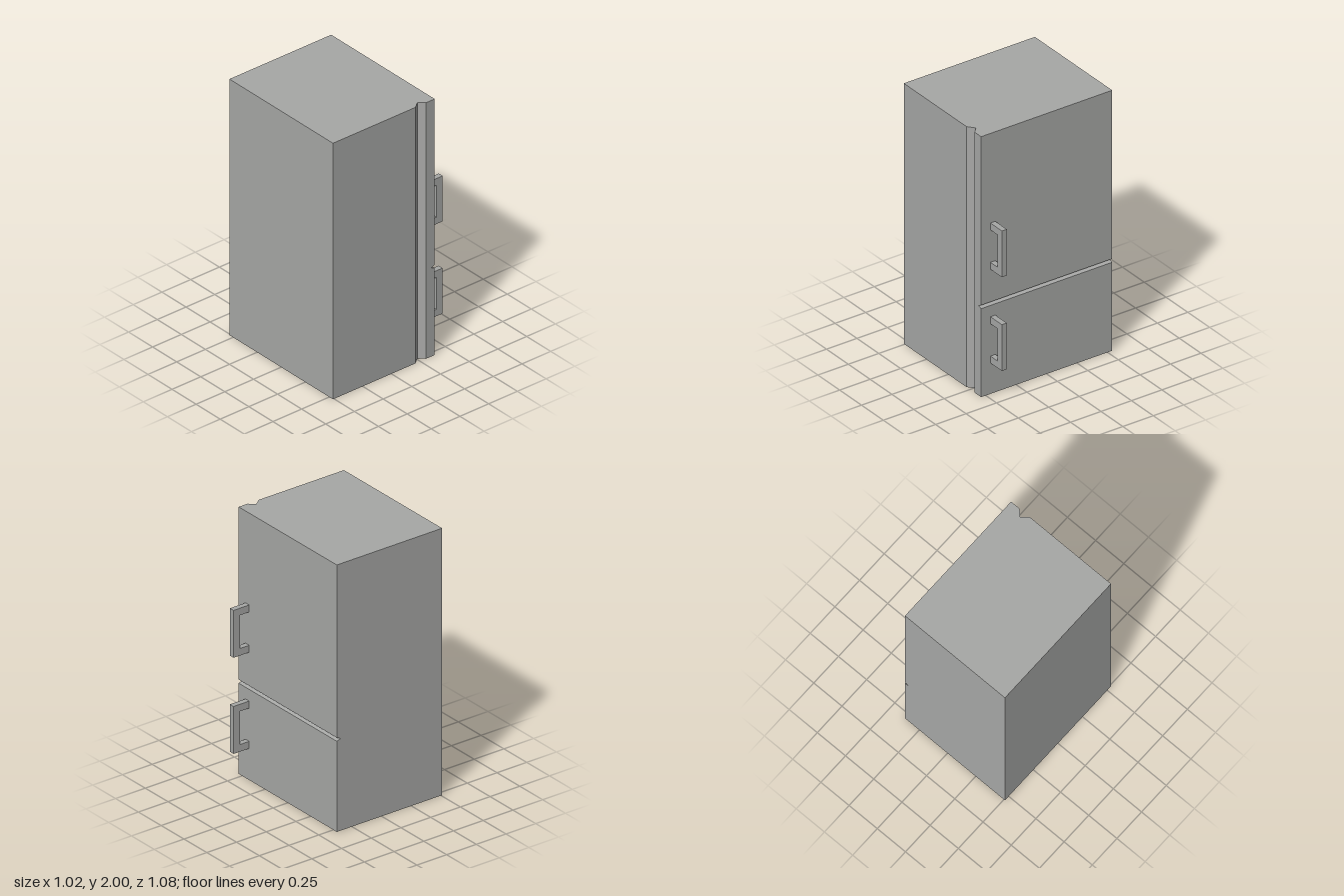
import * as THREE from 'three';

const HEIGHT = 2;
const DEPTH = 1.076;      // along z
const FRONT = DEPTH / 2;
const LEFT = 0.377;       // face of the doors
const SEAM_X = 0.345;     // bottom of the groove between the doors
const SEAM_Y = 0.69;

const steel = new THREE.MeshStandardMaterial({ color: 0xa7a8a6 });
steel.name = 'grey enamel';

// Extrudes a polygon drawn in x, y along z.
function prism(points, depth) {
  const shape = new THREE.Shape(points.map(([x, y]) => new THREE.Vector2(x, y)));
  return new THREE.ExtrudeGeometry(shape, { depth, bevelEnabled: false });
}

function addPart(parent, name, geometry) {
  const mesh = new THREE.Mesh(geometry, steel);
  mesh.name = name;
  parent.add(mesh);
  return mesh;
}

// C-shaped grip standing out from the door face.
function addHandle(parent, name, bottom) {
  const top = bottom + 0.355, outer = 0.509, inner = 0.456, bar = 0.053;
  const handle = addPart(parent, name, prism([
    [LEFT, bottom], [outer, bottom], [outer, top], [LEFT, top],
    [LEFT, top - bar], [inner, top - bar], [inner, bottom + bar], [LEFT, bottom + bar],
  ], 0.04));
  handle.position.z = 0.422;
}

export function createModel() {
  const fridge = new THREE.Group();
  fridge.name = 'fridge';

  // Cabinet: plan outline with the V groove on its front, extruded upward.
  const plan = [
    [-0.509, FRONT], [0.209, FRONT], [0.261, 0.497], [0.301, FRONT],
    [SEAM_X, FRONT], [SEAM_X, -FRONT], [-0.509, -FRONT],
  ];
  const cabinet = prism(plan.map(([x, z]) => [x, -z]), HEIGHT);
  cabinet.rotateX(-Math.PI / 2);
  addPart(fridge, 'cabinet', cabinet);

  // Door fronts: sloped edges meet at the bottom of the horizontal groove.
  const doors = {
    upperDoor: [[SEAM_X, SEAM_Y], [LEFT, 0.706], [LEFT, HEIGHT], [SEAM_X, HEIGHT]],
    lowerDoor: [[SEAM_X, 0], [LEFT, 0], [LEFT, 0.679], [SEAM_X, SEAM_Y]],
  };
  for (const [name, outline] of Object.entries(doors)) {
    addPart(fridge, name, prism(outline, DEPTH)).position.z = -FRONT;
  }

  addHandle(fridge, 'upperHandle', 0.957);
  addHandle(fridge, 'lowerHandle', 0.237);
  return fridge;
}
